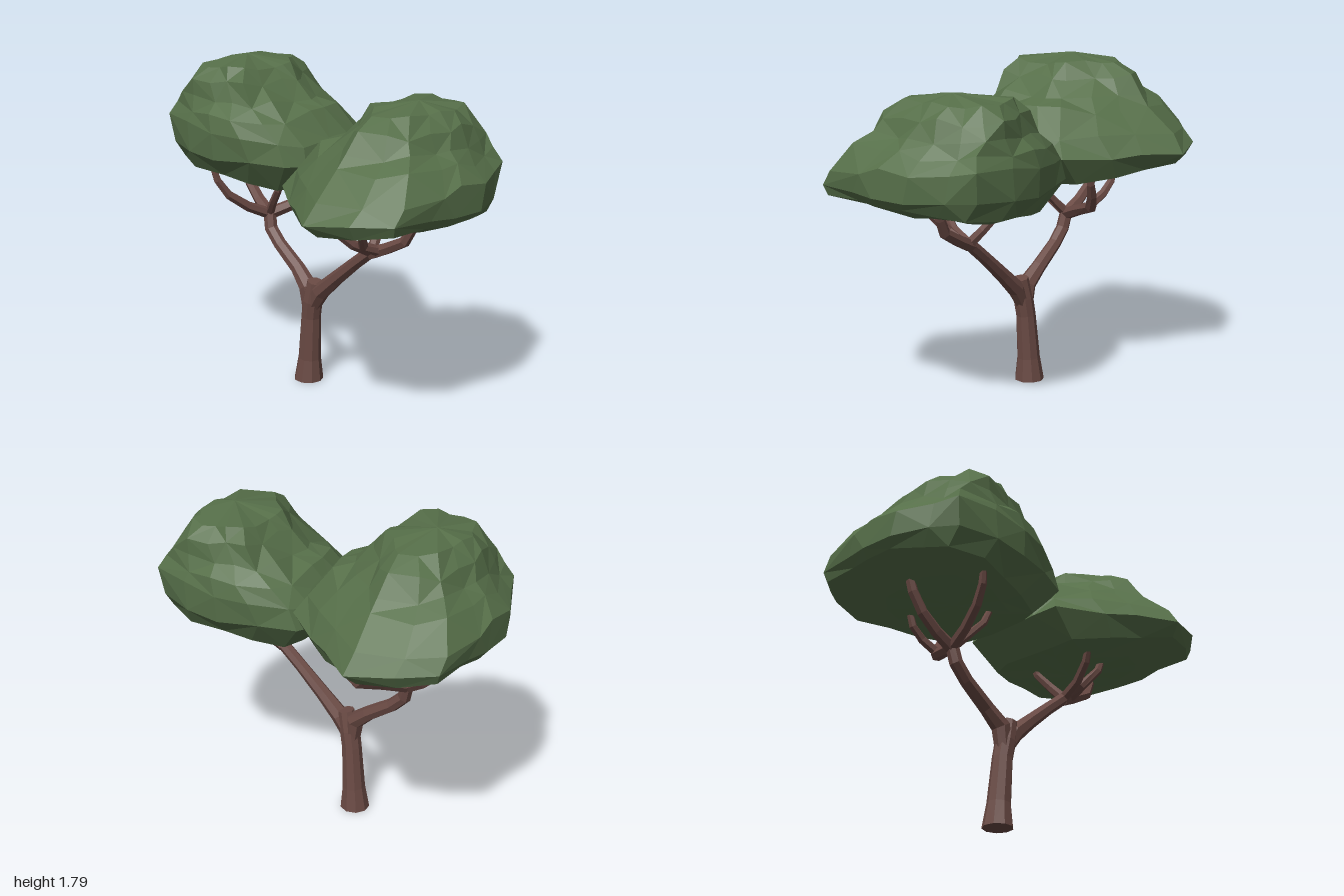
import * as THREE from 'three';

const leaf = new THREE.MeshStandardMaterial({ color: 0x566f49, flatShading: true });
leaf.name = 'leaf green';
const bark = new THREE.MeshStandardMaterial({ color: 0x6a4a44, flatShading: true });
bark.name = 'bark brown';

// Seeded noise in -1..1
function noiseSource(seed) {
  let s = seed;
  return () => {
    s = (s * 16807) % 2147483647;
    return (s / 2147483647) * 2 - 1;
  };
}

// Skin a stack of equal-length rings (bottom to top) and close both ends
function loft(rings, bottom, top) {
  const n = rings[0].length;
  const pos = [];
  const tri = (...pts) => pts.forEach((p) => pos.push(p.x, p.y, p.z));
  for (let j = 0; j < n; j++) {
    const k = (j + 1) % n;
    tri(bottom, rings[0][j], rings[0][k]);
    for (let i = 0; i < rings.length - 1; i++) {
      const a = rings[i][j], b = rings[i][k], c = rings[i + 1][j], d = rings[i + 1][k];
      if ((i + j) % 2) { tri(a, c, b); tri(b, c, d); }
      else { tri(a, c, d); tri(a, d, b); }
    }
    const last = rings[rings.length - 1];
    tri(top, last[k], last[j]);
  }
  const g = new THREE.BufferGeometry();
  g.setAttribute('position', new THREE.Float32BufferAttribute(pos, 3));
  g.computeVertexNormals();
  return g;
}

// Tapered limb through [x, y, z, radius] stations
function limb(name, stations, sides = 6) {
  const pts = stations.map((s) => new THREE.Vector3(s[0], s[1], s[2]));
  const up = new THREE.Vector3(0, 1, 0);
  const rings = pts.map((p, i) => {
    const dir = pts[Math.min(i + 1, pts.length - 1)].clone().sub(pts[Math.max(i - 1, 0)]).normalize();
    if (p.y === 0) dir.copy(up);
    const q = new THREE.Quaternion().setFromUnitVectors(up, dir);
    return Array.from({ length: sides }, (_, j) => {
      const a = (j / sides) * Math.PI * 2, r = stations[i][3];
      return new THREE.Vector3(Math.cos(a) * r, 0, Math.sin(a) * r).applyQuaternion(q).add(p);
    });
  });
  const mesh = new THREE.Mesh(loft(rings, pts[0], pts[pts.length - 1]), bark);
  mesh.name = name;
  return mesh;
}

// Plan outline of a leaf mass, x and z
const outline = [
  [0.48, 0.6], [0.42, 0.82], [0.28, 0.91], [0.1, 0.99], [-0.1, 1], [-0.25, 0.99],
  [-0.49, 0.97], [-0.6, 0.8], [-0.68, 0.56], [-0.57, 0.38], [-0.46, 0.2], [-0.32, 0],
  [-0.18, -0.03], [-0.05, -0.04], [0.2, -0.03], [0.33, 0], [0.41, 0.2], [0.45, 0.4],
];

// Leaf mass levels: x min, x max, z min, z max, height, slope along x, slope along z, wobble
const levels = [
  [-0.36, 0.26, 0.22, 0.74, 1.06, -0.04, 0.07, 0.012],
  [-0.63, 0.39, 0.09, 0.96, 1.095, -0.04, 0.13, 0.012],
  [-0.68, 0.47, -0.04, 1, 1.2, 0, 0.02, 0.016],
  [-0.61, 0.475, -0.01, 1, 1.32, 0.04, 0.04, 0.022],
  [-0.48, 0.455, 0.09, 0.92, 1.425, 0, 0, 0.024],
  [-0.4, 0.43, 0.2, 0.85, 1.485, 0, 0, 0.022],
  [-0.34, 0.4, 0.29, 0.815, 1.575, 0, 0, 0.022],
  [-0.24, 0.34, 0.36, 0.73, 1.65, 0, 0, 0.016],
];

function crownGeometry() {
  const rnd = noiseSource(3301);
  const rings = levels.map(([x0, x1, z0, z1, y, sx, sz, wob]) => outline.map(([ox, oz]) => {
    const x = x0 + ((ox + 0.68) / 1.16) * (x1 - x0);
    const z = z0 + ((oz + 0.04) / 1.04) * (z1 - z0);
    return new THREE.Vector3(
      x + rnd() * wob,
      y + sx * x + sz * (z - 0.5) + rnd() * wob,
      Math.min(1, z + rnd() * wob),
    );
  }));
  return loft(rings, new THREE.Vector3(0, 1.05, 0.45), new THREE.Vector3(0.06, 1.69, 0.59));
}

// Twigs reaching from each branch end into the leaves
const frontTwigs = [
  [[-0.03, 0.86, 0.35, 0.036], [-0.02, 0.91, 0.46, 0.033], [-0.01, 0.97, 0.575, 0.03], [0, 1.05, 0.62, 0.027], [0.01, 1.17, 0.66, 0.02]],
  [[-0.04, 0.89, 0.41, 0.028], [-0.13, 0.93, 0.4, 0.027], [-0.2, 1.02, 0.46, 0.023], [-0.22, 1.15, 0.5, 0.016]],
  [[-0.03, 0.87, 0.36, 0.03], [-0.15, 0.93, 0.34, 0.026], [-0.24, 1.01, 0.31, 0.023], [-0.3, 1.13, 0.28, 0.016]],
  [[-0.03, 0.87, 0.36, 0.03], [0.04, 0.95, 0.33, 0.026], [0.1, 1.03, 0.29, 0.022], [0.13, 1.14, 0.26, 0.016]],
];
const backTwigs = [
  [[-0.01, 0.89, -0.48, 0.036], [0, 0.95, -0.58, 0.033], [0.01, 1.03, -0.67, 0.03], [0.02, 1.13, -0.73, 0.028], [0.03, 1.27, -0.77, 0.022]],
  [[-0.01, 0.89, -0.48, 0.036], [0.12, 0.94, -0.41, 0.033], [0.25, 0.985, -0.34, 0.034], [0.29, 1.06, -0.29, 0.027], [0.31, 1.13, -0.25, 0.022], [0.32, 1.24, -0.22, 0.016]],
  [[0.23, 0.98, -0.34, 0.028], [0.27, 1.05, -0.43, 0.025], [0.28, 1.11, -0.49, 0.022], [0.29, 1.25, -0.53, 0.016]],
  [[-0.01, 0.89, -0.48, 0.032], [-0.14, 0.95, -0.51, 0.028], [-0.25, 1.03, -0.54, 0.025], [-0.31, 1.12, -0.56, 0.022], [-0.34, 1.24, -0.58, 0.016]],
  [[-0.01, 0.89, -0.48, 0.026], [-0.05, 0.98, -0.4, 0.022], [-0.08, 1.07, -0.32, 0.02], [-0.09, 1.2, -0.26, 0.015]],
];

export function createModel() {
  const tree = new THREE.Group();
  tree.name = 'tree';

  // Trunk widening into its fork
  tree.add(limb('trunk', [
    [-0.02, 0, -0.145, 0.082], [-0.02, 0.13, -0.137, 0.064], [-0.025, 0.38, -0.118, 0.055],
    [-0.03, 0.48, -0.1, 0.056], [-0.03, 0.595, -0.075, 0.045],
  ], 9));
  tree.add(limb('frontBranch', [
    [-0.03, 0.42, -0.115, 0.04], [-0.03, 0.545, -0.035, 0.05], [-0.03, 0.645, 0.08, 0.041],
    [-0.03, 0.77, 0.23, 0.035], [-0.03, 0.88, 0.37, 0.034],
  ], 7));
  tree.add(limb('backBranch', [
    [-0.03, 0.42, -0.115, 0.045], [-0.03, 0.55, -0.135, 0.052], [-0.02, 0.63, -0.23, 0.041],
    [-0.02, 0.735, -0.38, 0.037], [-0.02, 0.81, -0.455, 0.037], [-0.01, 0.91, -0.48, 0.036],
  ], 7));

  [['frontTwig', frontTwigs], ['backTwig', backTwigs]].forEach(([name, paths]) => {
    paths.forEach((path, i) => tree.add(limb(name + (i + 1), path)));
  });

  // Leaf masses, the rear one turned half a circle and set higher
  const geometry = crownGeometry();
  const frontCrown = new THREE.Mesh(geometry, leaf);
  frontCrown.name = 'frontCrown';
  const backCrown = new THREE.Mesh(geometry, leaf);
  backCrown.name = 'backCrown';
  backCrown.rotation.y = Math.PI;
  backCrown.position.y = 0.1;
  tree.add(frontCrown, backCrown);
  return tree;
}
